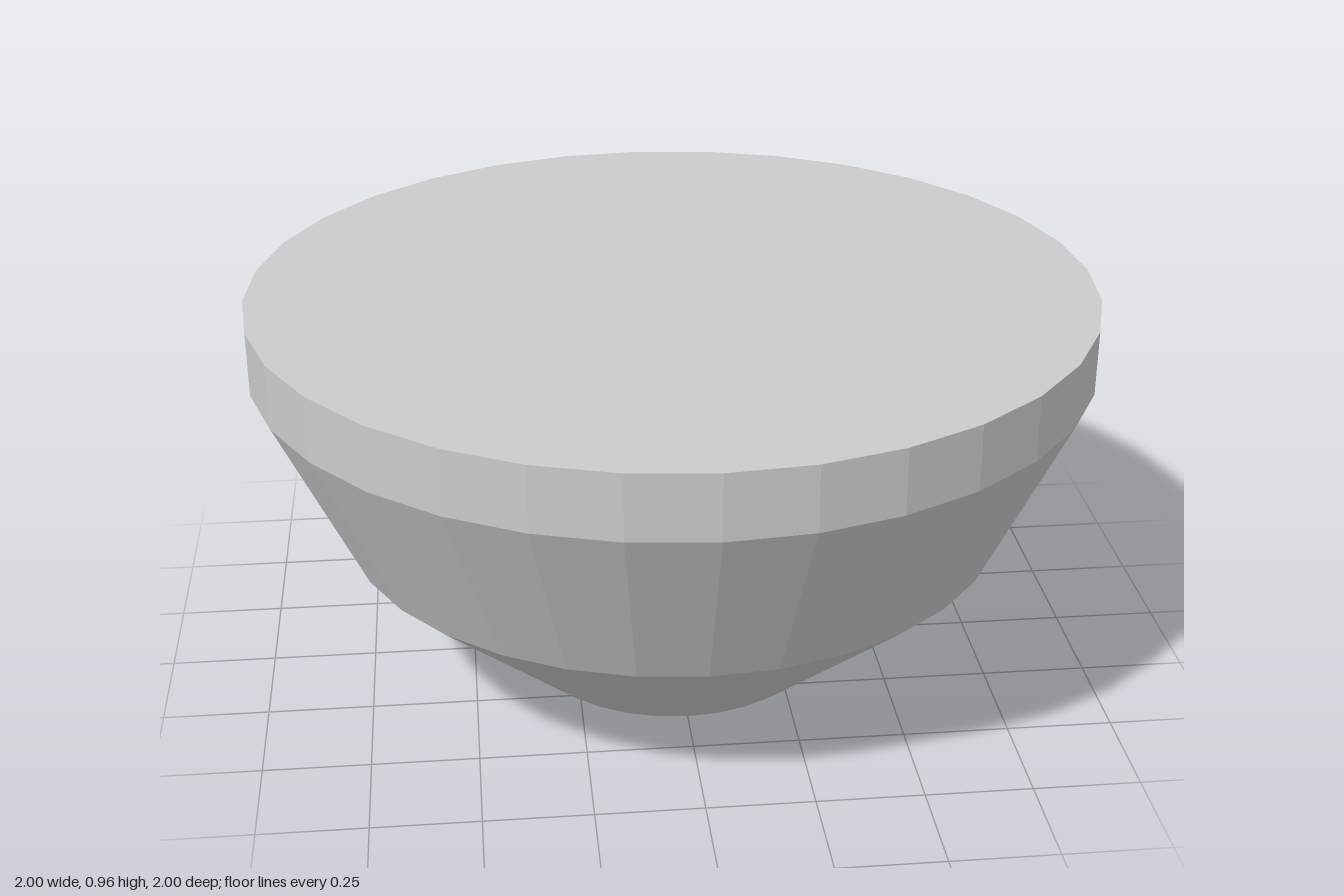
import * as THREE from 'three';

const SIDES = 32;

export function createModel() {
  const group = new THREE.Group();
  group.name = 'bowl';
  const material = new THREE.MeshStandardMaterial({ color: 0xcccccc, flatShading: true });

  // Stacked sections, bottom to top: [name, lower radius, upper radius, lower y, upper y, open ended]
  const sections = [
    ['base', 0.37, 0.795, 0, 0.373],
    ['body', 0.795, 1, 0.373, 0.81],
    ['rim', 1, 1, 0.81, 0.963],
  ];
  for (const [name, r0, r1, y0, y1] of sections) {
    const wall = new THREE.Mesh(new THREE.CylinderGeometry(r1, r0, y1 - y0, SIDES, 1, true), material);
    wall.name = name;
    wall.position.y = (y0 + y1) / 2;
    group.add(wall);
  }

  // Flat discs closing the top and the underside
  const addDisc = (name, radius, y, tilt) => {
    const disc = new THREE.Mesh(new THREE.CircleGeometry(radius, SIDES), material);
    disc.name = name;
    disc.rotation.x = tilt;
    disc.position.y = y;
    group.add(disc);
  };
  addDisc('topCover', 1, 0.963, -Math.PI / 2);
  addDisc('underside', 0.37, 0, Math.PI / 2);

  return group;
}
